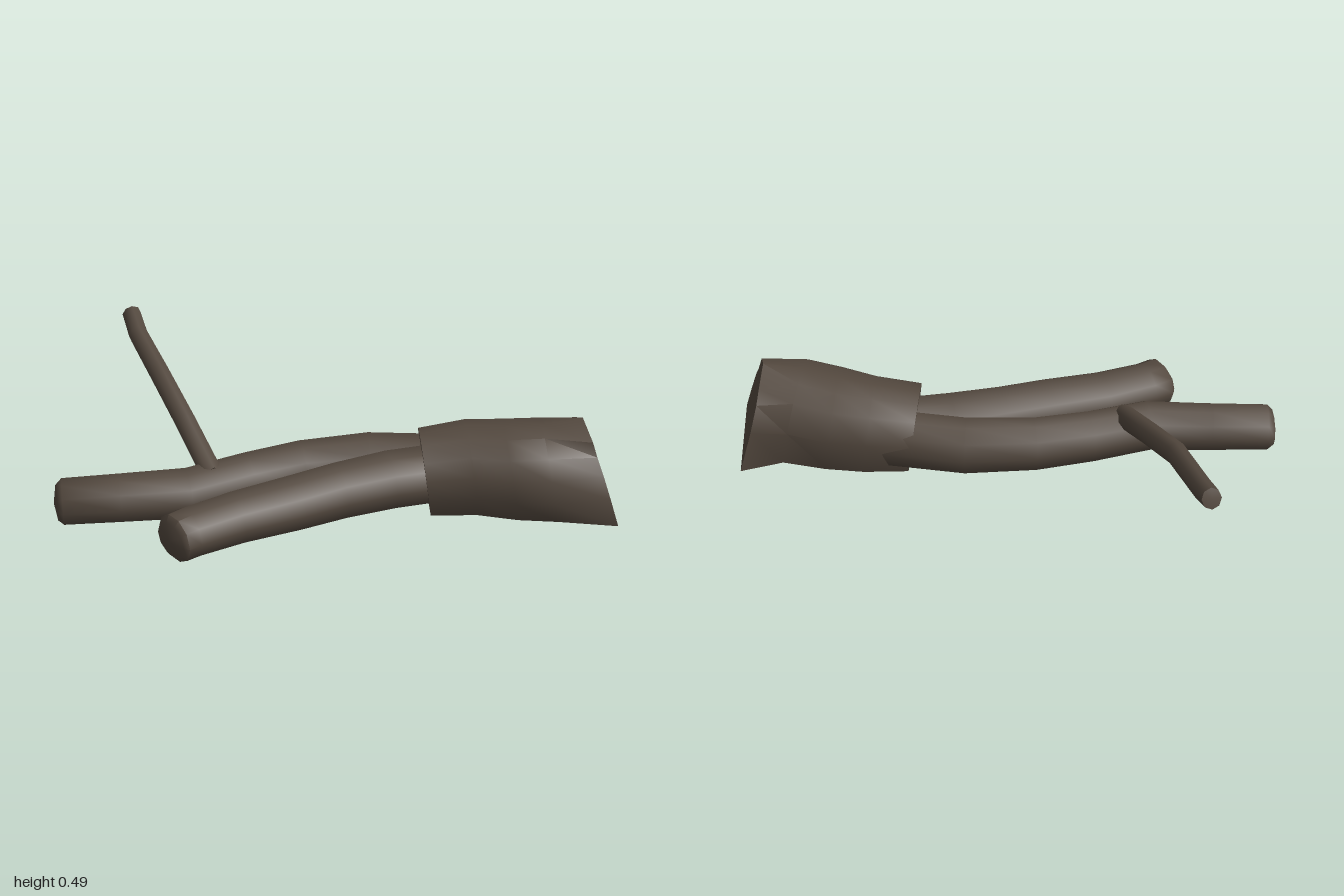
import * as THREE from 'three';
import { toCreasedNormals } from 'three/addons/utils/BufferGeometryUtils.js';

const UP = new THREE.Vector3(0, 1, 0);

// Skin a list of rings and close both ends; bulge pushes the far cap centre outward
function loft(rings, crease, bulge = 0) {
  const n = rings[0].length, last = rings.length - 1;
  const pts = rings.flat(), index = [];
  const centre = (r) => r.reduce((a, p) => a.add(p), new THREE.Vector3()).divideScalar(n);
  for (let i = 0; i < last; i++) {
    for (let j = 0; j < n; j++) {
      const a = i * n + j, b = i * n + (j + 1) % n;
      index.push(a, a + n, b, b, a + n, b + n);
    }
  }
  const start = centre(rings[0]), end = centre(rings[last]);
  const dir = end.clone().sub(centre(rings[last - 1])).normalize();
  pts.push(start, end.clone().addScaledVector(dir, bulge));
  for (let j = 0; j < n; j++) {
    const k = (j + 1) % n;
    index.push(pts.length - 2, j, k, pts.length - 1, last * n + k, last * n + j);
  }
  const g = new THREE.BufferGeometry().setFromPoints(pts);
  g.setIndex(index);
  return toCreasedNormals(g, crease);
}

// Limb along stations [x, y, z, half width, half height], never below the ground
function limb(stations, sides, bulge) {
  const c = stations.map((s) => new THREE.Vector3(s[0], s[1], s[2]));
  const rings = stations.map((s, i) => {
    const d = c[Math.min(i + 1, c.length - 1)].clone().sub(c[Math.max(i - 1, 0)]).normalize();
    const right = d.clone().cross(UP).normalize();
    const up = right.clone().cross(d);
    return Array.from({ length: sides }, (_, j) => {
      const a = (j / sides) * Math.PI * 2;
      const p = c[i].clone().addScaledVector(right, Math.cos(a) * s[3]).addScaledVector(up, Math.sin(a) * s[4]);
      p.y = Math.max(0, p.y);
      return p;
    });
  });
  return loft(rings, 1.0, bulge);
}

// Trunk outlines as [across, height], from the right base over the top to the left base
const ROUND = [[0.8, 0], [1, 0.3], [0.95, 0.58], [0.75, 0.8], [0.4, 0.95], [0, 1],
  [-0.4, 0.95], [-0.75, 0.82], [-1, 0.5], [-0.8, 0], [0, 0]];
const BROKEN = [[1, 0], [0.9, 0.3], [0.76, 0.54], [0.56, 0.7], [0.49, 0.86], [0, 1],
  [-0.4, 0.84], [-0.73, 0.76], [-0.97, 0.5], [-1, 0], [0, 0]];

// Trunk sections: left x, z, right x, z, top height, backward lean of the top, outline
function trunk() {
  const sections = [
    [0.22, -0.42, 0.5, -0.2, 0.29, 0.04, ROUND],
    [0.315, -0.57, 0.62, -0.34, 0.32, 0.04, ROUND],
    [0.415, -0.69, 0.75, -0.43, 0.33, 0.05, ROUND],
    [0.55, -0.81, 0.86, -0.54, 0.35, 0.07, ROUND],
    [0.63, -0.95, 1.0, -0.72, 0.37, 0.107, BROKEN],
  ];
  return loft(sections.map(([lx, lz, rx, rz, top, lean, outline]) =>
    outline.map(([s, h]) => new THREE.Vector3(
      (lx + rx) / 2 + (s * (rx - lx)) / 2 - 0.53 * lean * h,
      top * h,
      (lz + rz) / 2 + (s * (rz - lz)) / 2 + 0.85 * lean * h))), 0.75);
}

export function createModel() {
  const group = new THREE.Group();
  const bark = new THREE.MeshStandardMaterial({ color: 0x54493f });
  bark.name = 'bark';
  const add = (name, geometry) => {
    const mesh = new THREE.Mesh(geometry, bark);
    mesh.name = name;
    group.add(mesh);
  };

  add('trunk', trunk());

  // Longer fork, bending to the right front
  add('longFork', limb([
    [0.36, 0.11, -0.42, 0.11, 0.12],
    [0.14, 0.108, -0.19, 0.11, 0.12],
    [0.0, 0.103, 0.04, 0.1, 0.115],
    [-0.08, 0.098, 0.25, 0.098, 0.11],
    [-0.15, 0.093, 0.49, 0.1, 0.105],
    [-0.3, 0.088, 0.705, 0.096, 0.1],
    [-0.425, 0.086, 0.888, 0.093, 0.096],
    [-0.437, 0.086, 0.908, 0.078, 0.07],
  ], 10, 0.012));

  // Shorter fork
  add('shortFork', limb([
    [0.4, 0.11, -0.36, 0.12, 0.12],
    [0.3, 0.11, -0.15, 0.12, 0.12],
    [0.23, 0.106, 0.05, 0.112, 0.117],
    [0.175, 0.1, 0.24, 0.112, 0.112],
    [0.105, 0.093, 0.46, 0.107, 0.105],
    [0.067, 0.088, 0.65, 0.102, 0.1],
    [0.065, 0.088, 0.72, 0.1, 0.098],
    [0.065, 0.088, 0.737, 0.08, 0.07],
  ], 10, 0.01));

  // Thin side branch rising from the longer fork
  add('twig', limb([
    [-0.11, 0.16, 0.398, 0.046, 0.046],
    [-0.36, 0.262, 0.332, 0.044, 0.045],
    [-0.61, 0.355, 0.268, 0.042, 0.046],
    [-0.87, 0.403, 0.182, 0.04, 0.045],
    [-0.975, 0.448, 0.138, 0.038, 0.042],
  ], 8, 0.006));

  return group;
}
